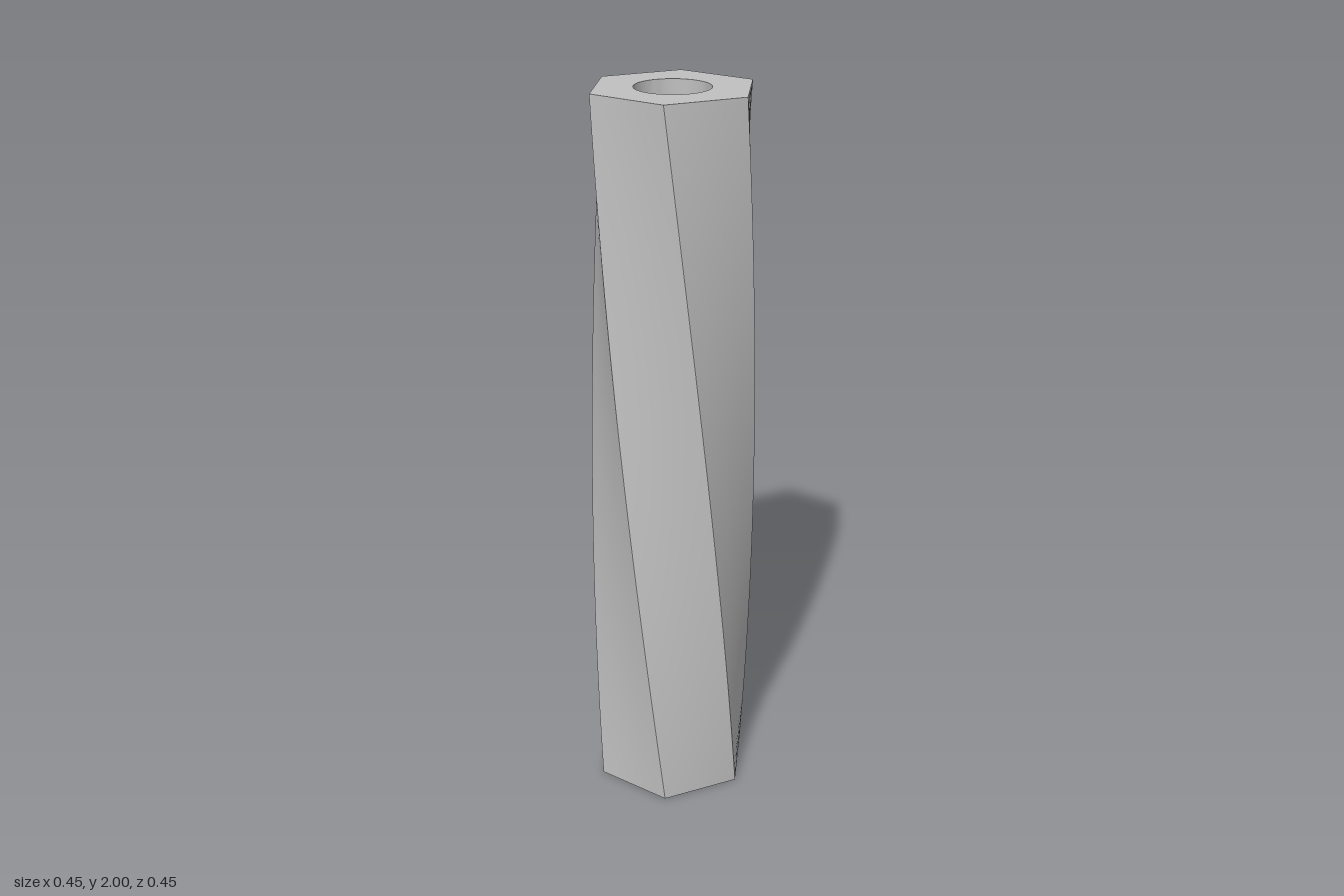
import * as THREE from 'three';
import { toCreasedNormals } from 'three/addons/utils/BufferGeometryUtils.js';

const HEIGHT = 2, RADIUS = 0.225, BORE = 0.1, STEP = 0.08;
const SIXTH = Math.PI / 3;

// One side of the hexagon, swept up with a sixth of a turn of twist
function twistedSide() {
  const geo = new THREE.PlaneGeometry(1, 1, 4, 60);
  const pos = geo.attributes.position;
  for (let i = 0; i < pos.count; i++) {
    const x = pos.getX(i) * RADIUS, t = pos.getY(i) + 0.5;
    const z = RADIUS * Math.cos(SIXTH / 2);
    const a = -SIXTH * t;
    pos.setXYZ(i,
      x * Math.cos(a) + z * Math.sin(a),
      t * HEIGHT,
      z * Math.cos(a) - x * Math.sin(a));
  }
  geo.computeVertexNormals();
  return geo;
}

// Hexagonal end face with a round opening
function endFace() {
  const corners = Array.from({ length: 6 }, (_, k) =>
    new THREE.Vector2(RADIUS * Math.cos(k * SIXTH), RADIUS * Math.sin(k * SIXTH)));
  const shape = new THREE.Shape(corners);
  shape.holes.push(new THREE.Path().absarc(0, 0, BORE, 0, Math.PI * 2, true));
  return new THREE.ShapeGeometry(shape, 32).rotateX(-Math.PI / 2);
}

// Stepped blind socket, measured down from the end face
function socket() {
  const profile = [[BORE, 0], [BORE, -0.4], [STEP, -0.4], [STEP, -0.6], [0, -0.6]]
    .map(([r, y]) => new THREE.Vector2(r, y));
  return toCreasedNormals(new THREE.LatheGeometry(profile, 64), 0.5);
}

export function createModel() {
  const model = new THREE.Group();
  model.name = 'twistedHexRod';
  const grey = new THREE.MeshStandardMaterial({ color: 0xc0c0c0 });
  grey.name = 'light grey';

  // Six twisted sides
  const side = twistedSide();
  for (let k = 0; k < 6; k++) {
    const mesh = new THREE.Mesh(side, grey);
    mesh.name = 'twistedSide' + (k + 1);
    mesh.rotation.y = k * SIXTH;
    model.add(mesh);
  }

  // Matching ends, the lower one turned over
  const face = endFace(), bore = socket();
  for (const top of [true, false]) {
    const end = new THREE.Group();
    end.name = top ? 'topEnd' : 'bottomEnd';
    const faceMesh = new THREE.Mesh(face, grey);
    faceMesh.name = 'endFace';
    const boreMesh = new THREE.Mesh(bore, grey);
    boreMesh.name = 'socket';
    end.add(faceMesh, boreMesh);
    end.position.y = top ? HEIGHT : 0;
    end.rotation.x = top ? 0 : Math.PI;
    model.add(end);
  }
  return model;
}
